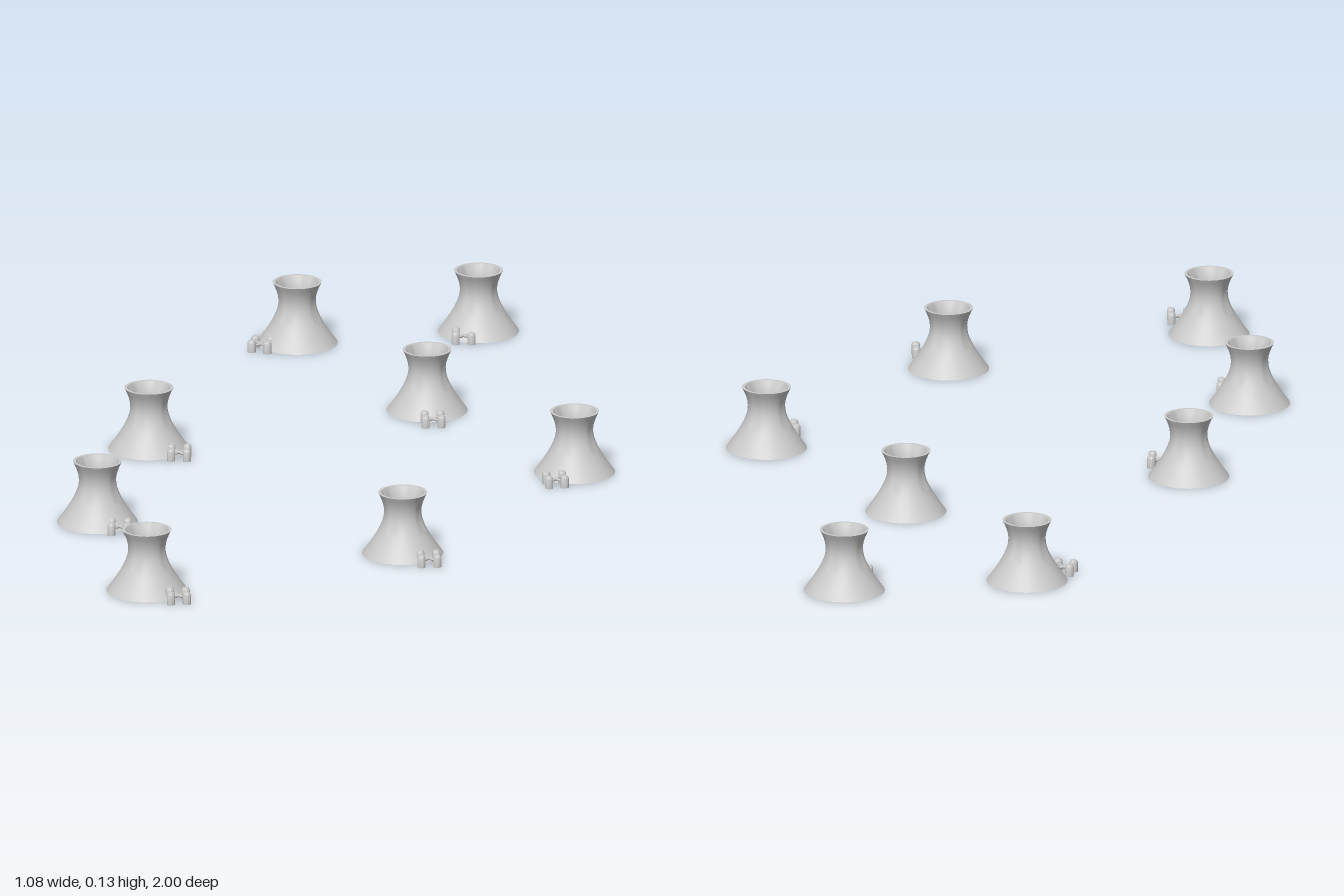
import * as THREE from 'three';
import { toCreasedNormals } from 'three/addons/utils/BufferGeometryUtils.js';

const BASE_R = 0.083, WAIST_R = 0.038, WAIST_Y = 0.09, HEIGHT = 0.13, WALL = 0.006;
const material = new THREE.MeshStandardMaterial({ color: 0xcccccc });

// Tower centre x, z, then offset of its tank cluster and the cluster's turn
const sites = [
  [-0.177, -0.917, 0.01, 0.078, 0.3],
  [-0.46, -0.667, -0.038, 0.081, 0.5],
  [-0.008, -0.407, 0.06, 0.081, 0.2],
  [0.456, -0.198, 0.011, 0.098, 0.1],
  [-0.376, 0.093, 0.088, 0.03, 0.3],
  [0.418, 0.444, 0.085, 0.042, 0.2],
  [-0.225, 0.571, 0.075, 0.041, 0.3],
  [0.087, 0.917, 0.094, 0.036, 0.2],
];

// Hyperboloid radius at height y
function radiusAt(y) {
  const k = (BASE_R ** 2 - WAIST_R ** 2) / WAIST_Y ** 2;
  return Math.sqrt(WAIST_R ** 2 + k * (y - WAIST_Y) ** 2);
}

function lathe(points, sides) {
  const profile = points.map(([r, y]) => new THREE.Vector2(r, y));
  return toCreasedNormals(new THREE.LatheGeometry(profile, sides), 0.6);
}

// Closed underside, waisted outer wall, rim, and recessed mouth
function towerGeometry() {
  const points = [[0, 0]];
  const steps = 14;
  for (let i = 0; i <= steps; i++) {
    const y = (HEIGHT * i) / steps;
    points.push([radiusAt(y), y]);
  }
  const floorY = 0.075;
  for (let i = 0; i <= 6; i++) {
    const y = HEIGHT + ((floorY - HEIGHT) * i) / 6;
    points.push([radiusAt(y) - WALL, y]);
  }
  points.push([0, floorY]);
  return lathe(points, 32);
}

const tower = towerGeometry();
const tank = lathe([[0, 0], [0.0085, 0], [0.0085, 0.021], [0.006, 0.025], [0, 0.025]], 12);
const pipe = new THREE.CylinderGeometry(0.003, 0.003, 0.046, 8).rotateZ(Math.PI / 2);

function addMesh(parent, name, geometry, x = 0, y = 0, z = 0) {
  const mesh = new THREE.Mesh(geometry, material);
  mesh.name = name;
  mesh.position.set(x, y, z);
  parent.add(mesh);
  return mesh;
}

// Four small tanks joined by crossed pipes
function createTankCluster() {
  const cluster = new THREE.Group();
  cluster.name = 'tankCluster';
  for (let i = 0; i < 4; i++) {
    const a = (i * Math.PI) / 2;
    addMesh(cluster, 'tank', tank, 0.023 * Math.cos(a), 0, 0.023 * Math.sin(a));
  }
  for (const turn of [0, Math.PI / 2]) {
    addMesh(cluster, 'pipe', pipe, 0, 0.013, 0).rotation.y = turn;
  }
  return cluster;
}

export function createModel() {
  const model = new THREE.Group();
  model.name = 'coolingTowers';
  for (const [x, z, dx, dz, turn] of sites) {
    const site = new THREE.Group();
    site.name = 'towerSite';
    site.position.set(x, 0, z);
    addMesh(site, 'coolingTower', tower);
    const cluster = createTankCluster();
    cluster.position.set(dx, 0, dz);
    cluster.rotation.y = -turn;
    site.add(cluster);
    model.add(site);
  }
  return model;
}
